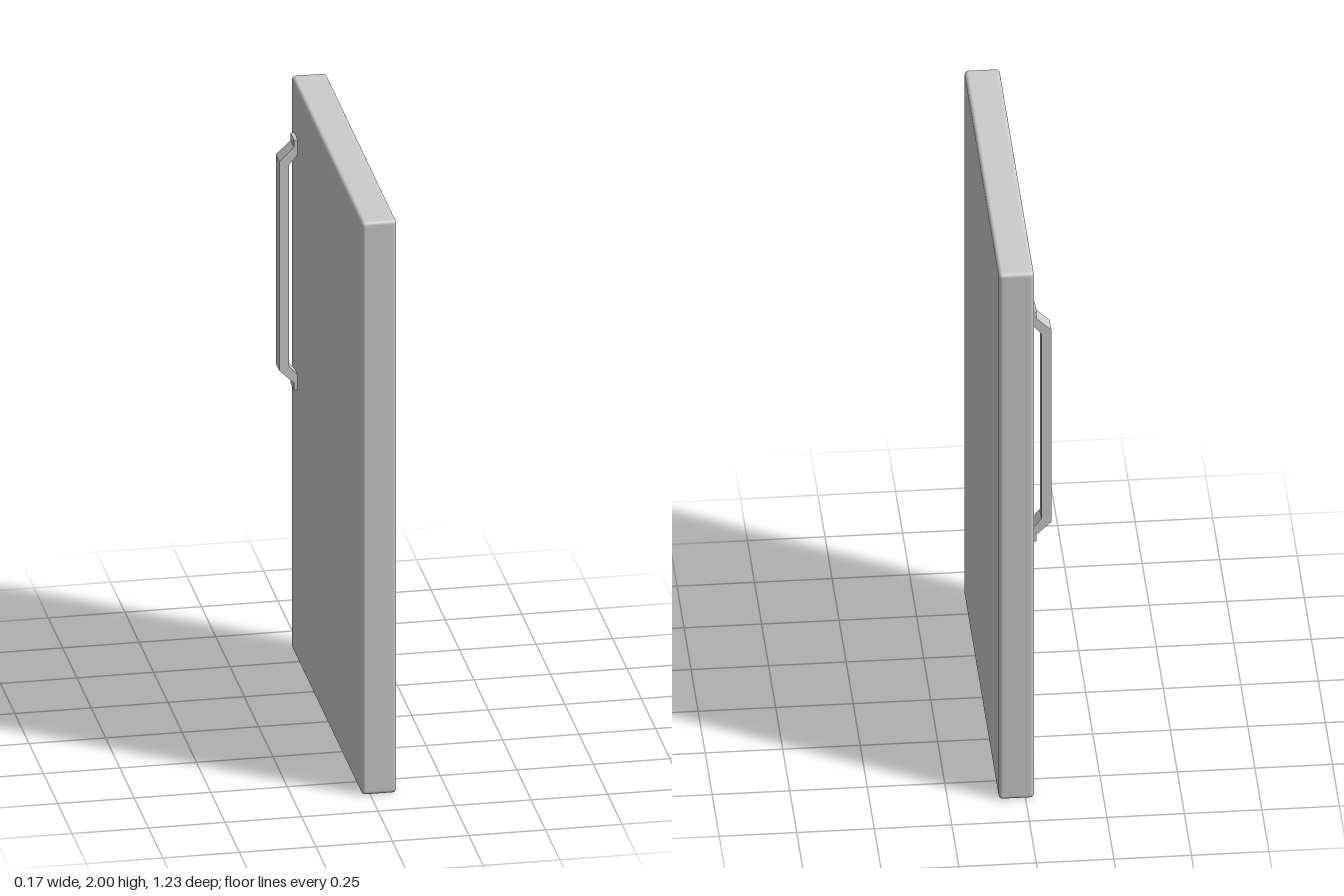
import * as THREE from 'three';
import { RoundedBoxGeometry } from 'three/addons/geometries/RoundedBoxGeometry.js';

export function createModel() {
  const model = new THREE.Group();
  const material = new THREE.MeshStandardMaterial({ color: 0xcccccc });

  // Door slab with softly rounded edges
  const faceX = -0.028, backX = 0.086;
  const panel = new THREE.Mesh(
    new RoundedBoxGeometry(backX - faceX, 2, 1.234, 3, 0.013), material);
  panel.name = 'doorPanel';
  panel.position.set((faceX + backX) / 2, 1, 0);
  model.add(panel);

  // Pull handle: upper half of its side profile [x, height above middle], mirrored below
  const middleY = 1.383;
  const outer = [[-0.028, 0.437], [-0.04, 0.437], [-0.04, 0.412], [-0.088, 0.365]];
  const inner = [[-0.056, 0.352], [-0.028, 0.385]];
  const flip = (points) => points.map(([x, y]) => [x, -y]).reverse();
  const outline = [...outer, ...flip(outer), ...flip(inner), ...inner];
  const profile = new THREE.Shape(outline.map(([x, y]) => new THREE.Vector2(x, y)));
  const handle = new THREE.Mesh(
    new THREE.ExtrudeGeometry(profile, { depth: 0.06, bevelEnabled: false }), material);
  handle.name = 'pullHandle';
  handle.position.set(0, middleY, -0.565);
  model.add(handle);

  return model;
}
